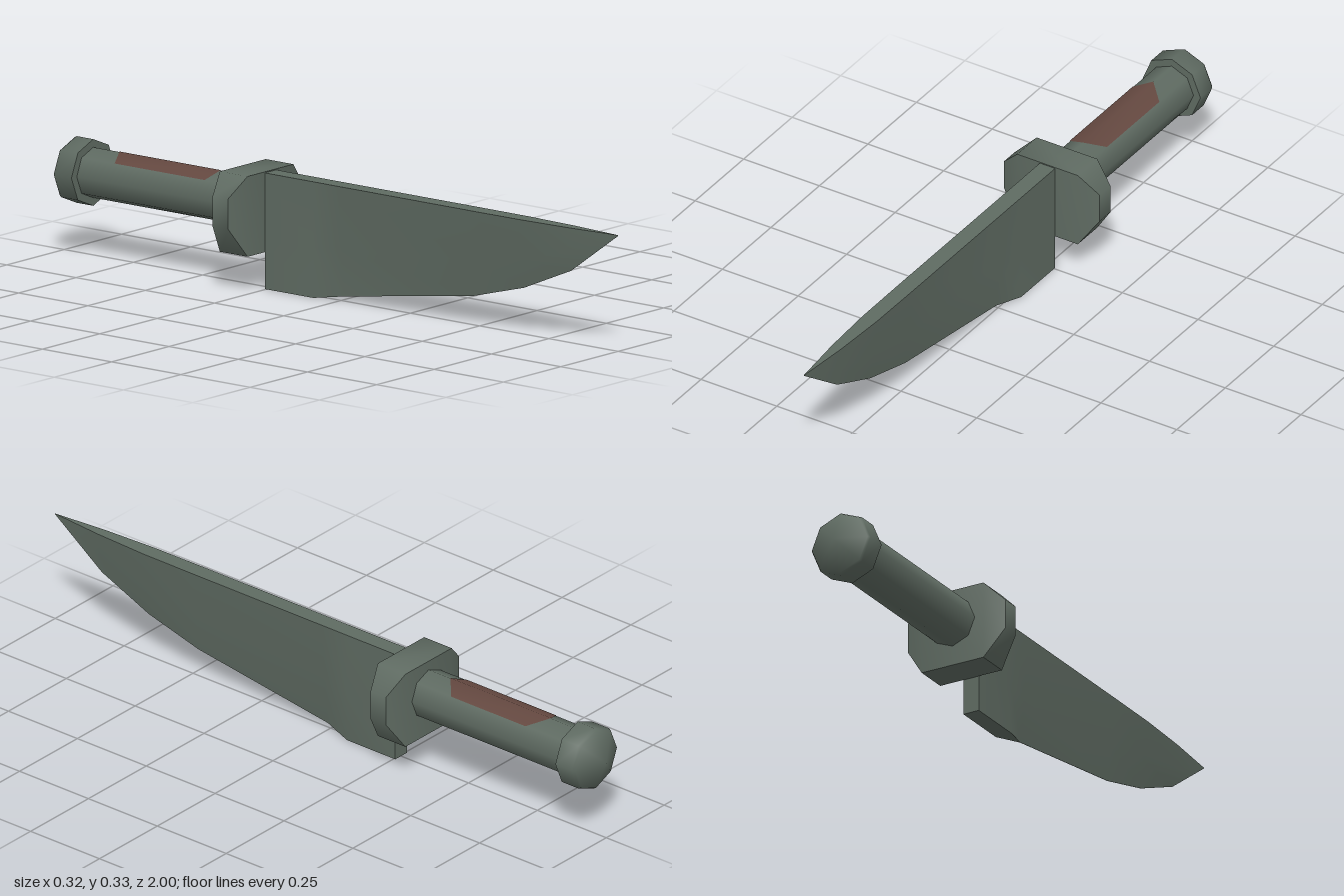
import * as THREE from 'three';
import { toCreasedNormals } from 'three/addons/utils/BufferGeometryUtils.js';

const steel = new THREE.MeshStandardMaterial({ color: 0x5f6b62 });
steel.name = 'greySteel';
const brown = new THREE.MeshStandardMaterial({ color: 0x644840 });
brown.name = 'brownInlay';

// Skins a list of equal-sized cross-sections and closes both ends
function loft(sections, crease) {
  const n = sections[0].length;
  const index = [];
  for (let i = 0; i < sections.length - 1; i++) {
    for (let j = 0; j < n; j++) {
      const a = i * n + j, b = i * n + (j + 1) % n;
      index.push(a, b, b + n, a, b + n, a + n);
    }
  }
  const end = (sections.length - 1) * n;
  for (let j = 1; j < n - 1; j++) {
    index.push(0, j + 1, j, end, end + j, end + j + 1);
  }
  const g = new THREE.BufferGeometry();
  g.setAttribute('position', new THREE.Float32BufferAttribute(sections.flat(2), 3));
  g.setIndex(index);
  g.computeVertexNormals();
  return toCreasedNormals(g, crease);
}

export function createModel() {
  const model = new THREE.Group();
  model.name = 'knife';
  const add = (name, geometry, material) => {
    const mesh = new THREE.Mesh(geometry, material);
    mesh.name = name;
    model.add(mesh);
    return mesh;
  };
  const axisY = 0.235;

  // Blade: square heel, then a wedge curving up to the tip
  // [z, bottom y, half width of spine, of middle, of edge]
  const bladeStations = [
    [-0.255, 0, 0.025, 0.025, 0.025],
    [-0.08, 0, 0.025, 0.025, 0.025],
    [0.01, 0.013, 0.025, 0.013, 0.0005],
    [0.48, 0.083, 0.025, 0.013, 0.0005],
    [0.66, 0.132, 0.024, 0.013, 0.0005],
    [0.83, 0.205, 0.016, 0.009, 0.0005],
    [1, 0.329, 0.0005, 0.0005, 0.0005],
  ];
  add('blade', loft(bladeStations.map(([z, low, top, mid, edge]) => {
    const high = 0.331, middle = low + (high - low) * 0.42;
    return [
      [top, high, z], [-top, high, z], [-mid, middle, z],
      [-edge, low, z], [edge, low, z], [mid, middle, z],
    ];
  }), 0.6), steel);

  // Guard: block with chamfered left and right ends
  // [x, low y, high y, half depth]
  const guardStations = [
    [-0.158, 0.19, 0.277, 0.028],
    [-0.1, 0.105, 0.334, 0.05],
    [0.1, 0.105, 0.334, 0.05],
    [0.158, 0.19, 0.277, 0.028],
  ];
  const guardZ = -0.305;
  add('guard', loft(guardStations.map(([x, low, high, d]) => [
    [x, low, guardZ - d], [x, high, guardZ - d],
    [x, high, guardZ + d], [x, low, guardZ + d],
  ]), 0.95), steel);

  // Handle: eight-sided grip
  const radius = 0.072;
  const grip = new THREE.CylinderGeometry(radius, radius, 0.55, 8);
  grip.rotateX(Math.PI / 2).translate(0, axisY, -0.63);
  add('handle', grip, steel);

  // Inlay on the two upper facets of the handle: [angle from top, back z, front z]
  const inlayColumns = [
    [-Math.PI / 4, -0.775, -0.45],
    [0, -0.8, -0.435],
    [Math.PI / 4, -0.75, -0.48],
  ];
  const inlayPoints = inlayColumns.flatMap(([a, back, front]) => {
    const r = radius + 0.0015;
    const x = Math.sin(a) * r, y = axisY + Math.cos(a) * r;
    return [x, y, back, x, y, front];
  });
  const inlay = new THREE.BufferGeometry();
  inlay.setAttribute('position', new THREE.Float32BufferAttribute(inlayPoints, 3));
  inlay.setIndex([0, 1, 3, 0, 3, 2, 2, 3, 5, 2, 5, 4]);
  inlay.computeVertexNormals();
  add('handleInlay', inlay, brown);

  // Pommel: eight-sided cap with a low point
  const profile = [[0, -1], [0.09, -0.963], [0.095, -0.955], [0.095, -0.895], [0, -0.895]];
  const pommel = new THREE.LatheGeometry(profile.map(([r, z]) => new THREE.Vector2(r, z)), 8);
  pommel.rotateX(Math.PI / 2).translate(0, axisY, 0);
  add('pommel', toCreasedNormals(pommel, 1), steel);

  return model;
}
